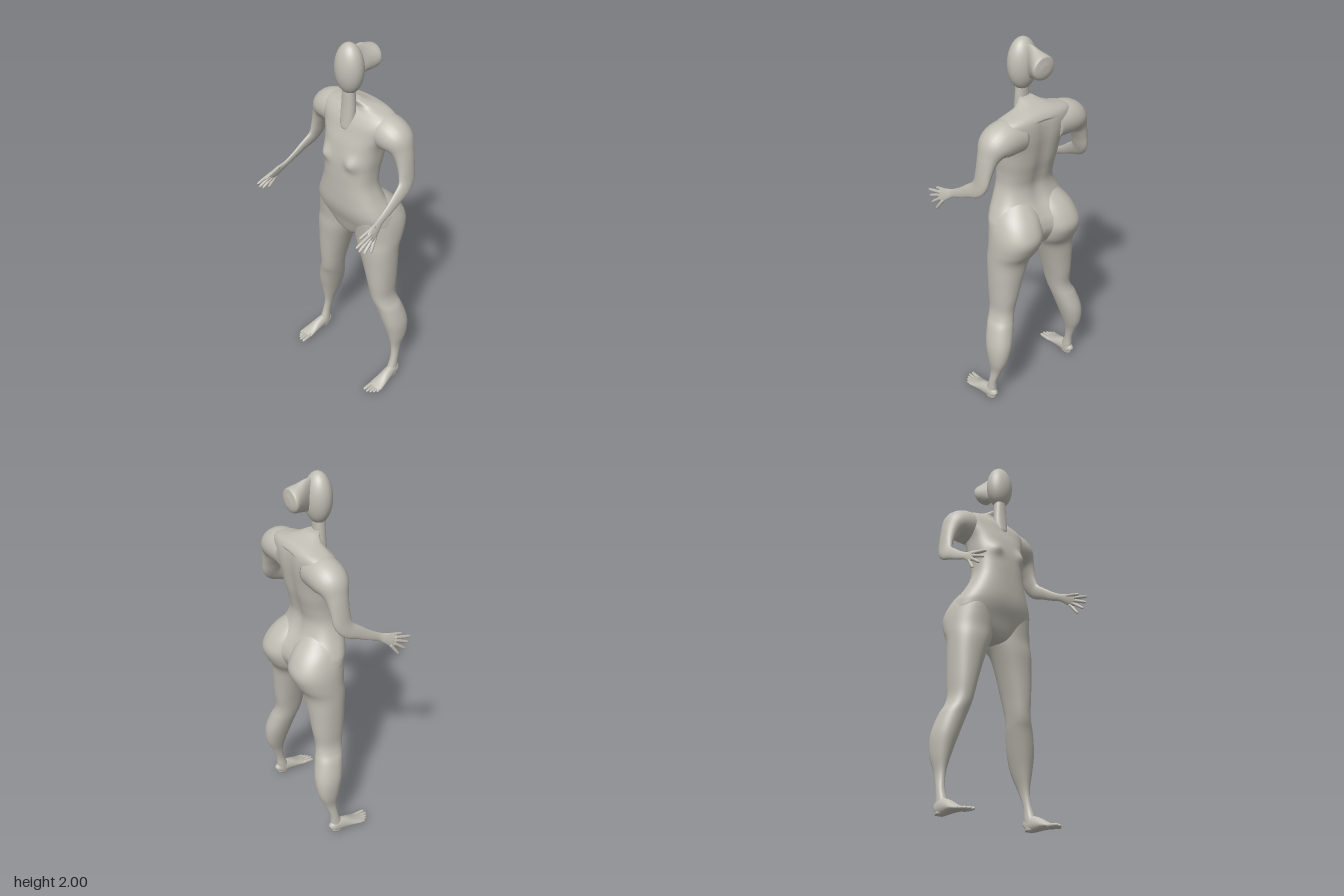
import * as THREE from 'three';

const V = (x, y, z) => new THREE.Vector3(x, y, z);

// Catmull-Rom interpolation of rows of numbers
function refine(rows, k = 5) {
  const out = [], at = (i) => rows[Math.max(0, Math.min(rows.length - 1, i))];
  for (let i = 0; i < rows.length - 1; i++) {
    const [a, b, c, d] = [at(i - 1), at(i), at(i + 1), at(i + 2)];
    for (let s = 0; s < k; s++) {
      const t = s / k;
      out.push(b.map((p, j) => {
        const cubic = 3 * (p - c[j]) + d[j] - a[j];
        const square = 2 * a[j] - 5 * p + 4 * c[j] - d[j];
        return p + 0.5 * t * (c[j] - a[j] + t * (square + t * cubic));
      }));
    }
  }
  out.push(rows[rows.length - 1]);
  return out;
}

// Closed skin over a list of rings, with a fan at each end
function skin(rings) {
  const n = rings[0].length, pos = [], idx = [];
  rings.forEach((r) => r.forEach((p) => pos.push(p.x, p.y, p.z)));
  for (let i = 0; i < rings.length - 1; i++) {
    for (let j = 0; j < n; j++) {
      const a = i * n + j, b = i * n + (j + 1) % n;
      idx.push(a, b, a + n, b, b + n, a + n);
    }
  }
  [0, rings.length - 1].forEach((row, end) => {
    const c = rings[row].reduce((s, p) => s.add(p), V(0, 0, 0)).divideScalar(n);
    const ci = pos.length / 3;
    pos.push(c.x, c.y, c.z);
    for (let j = 0; j < n; j++) {
      const a = row * n + j, b = row * n + (j + 1) % n;
      if (end) idx.push(ci, a, b); else idx.push(ci, b, a);
    }
  });
  const g = new THREE.BufferGeometry();
  g.setAttribute('position', new THREE.Float32BufferAttribute(pos, 3));
  g.setIndex(idx);
  g.computeVertexNormals();
  return g;
}

const mirror = (rings) => rings.map((r) => r.map((p) => V(-p.x, p.y, p.z)).reverse());

// Level sections, bottom to top: [y, x0, x1, zFront, zBack]
function levels(rows, n = 2.2, sides = 40) {
  const pw = (v) => Math.sign(v) * Math.abs(v) ** (2 / n);
  return refine(rows).map(([y, x0, x1, zf, zb]) => Array.from({ length: sides }, (_, j) => {
    const t = j / sides * Math.PI * 2;
    return V((x0 + x1) / 2 + (x1 - x0) / 2 * pw(Math.sin(t)), y,
      (zf + zb) / 2 + (zf - zb) / 2 * pw(Math.cos(t)));
  }));
}

// Oval sections along a path: [x, y, z, halfWidth, halfThickness]
function sweep(rows, width, sides = 24, k = 5) {
  const r = refine(rows, k), c = r.map((q) => V(q[0], q[1], q[2])), w = width.clone();
  return r.map((q, i) => {
    const T = c[Math.min(i + 1, c.length - 1)].clone().sub(c[Math.max(i - 1, 0)]).normalize();
    w.addScaledVector(T, -w.dot(T)).normalize();
    const b = T.clone().cross(w);
    return Array.from({ length: sides }, (_, j) => {
      const t = j / sides * Math.PI * 2;
      return c[i].clone().addScaledVector(w, q[3] * Math.cos(t)).addScaledVector(b, q[4] * Math.sin(t));
    });
  });
}

// Tapered finger or toe with a rounded tip
function digit(a, b, r) {
  const row = (t, s) => [...a.clone().lerp(b, t).toArray(), r * s, r * s];
  return sweep([row(0, 1), row(0.5, 0.95), row(0.85, 0.8), row(0.96, 0.5), row(1, 0.15)], V(1, 0, 0), 10, 3);
}

export function createModel() {
  const model = new THREE.Group();
  const clay = new THREE.MeshStandardMaterial({ color: 0xc0bdb3 });
  clay.name = 'warm grey clay';
  const add = (name, geo) => {
    const m = new THREE.Mesh(geo, clay);
    m.name = name;
    model.add(m);
    return m;
  };
  const pair = (name, rings) => {
    add(name + 'Left', skin(rings));
    add(name + 'Right', skin(mirror(rings)));
  };

  // Head
  const head = add('head', new THREE.SphereGeometry(1, 40, 28));
  head.scale.set(0.076, 0.125, 0.064);
  head.position.set(0, 1.875, -0.03);

  // Hair tied at the back, fanning outwards
  add('hairBun', skin(sweep([
    [0, 1.9, -0.06, 0.012, 0.075], [0, 1.9, -0.09, 0.022, 0.08], [0, 1.897, -0.13, 0.042, 0.07],
    [0, 1.895, -0.17, 0.06, 0.06], [0, 1.894, -0.184, 0.052, 0.05], [0, 1.894, -0.192, 0.02, 0.02],
  ], V(1, 0, 0))));

  // Neck, running down onto the breastbone
  add('neck', skin(levels([
    [1.565, -0.014, 0.014, 0.006, -0.04], [1.58, -0.032, 0.032, 0.012, -0.05],
    [1.62, -0.04, 0.04, 0.008, -0.055], [1.7, -0.037, 0.037, 0.002, -0.055], [1.79, -0.03, 0.03, 0, -0.055],
  ], 2.3, 24)));

  // Torso: [y, half width, zFront, zBack]
  const torso = levels([
    [0.935, 0.03, -0.04, -0.13], [0.96, 0.1, -0.01, -0.19], [1.04, 0.225, 0.018, -0.232],
    [1.1, 0.232, 0.04, -0.228], [1.15, 0.212, 0.05, -0.2], [1.21, 0.18, 0.053, -0.162],
    [1.28, 0.153, 0.054, -0.146], [1.35, 0.149, 0.054, -0.158], [1.42, 0.156, 0.05, -0.176],
    [1.5, 0.166, 0.035, -0.19], [1.56, 0.192, 0.014, -0.198], [1.61, 0.215, -0.004, -0.2],
    [1.645, 0.212, -0.025, -0.197], [1.668, 0.175, -0.045, -0.188], [1.685, 0.11, -0.05, -0.17],
    [1.7, 0.07, -0.045, -0.13], [1.72, 0.035, -0.035, -0.085],
  ].map(([y, w, f, b]) => [y, -w, w, f, b]), 2.5, 64);
  torso.flat().forEach((p) => {
    if (p.z > -0.02) { // bust
      p.z += 0.022 * Math.exp(-((Math.abs(p.x) - 0.088) ** 2 + (p.y - 1.42) ** 2) / 0.0012);
    } else if (p.z < -0.1 && p.y < 1.65) { // spine groove
      p.z += 0.01 * Math.exp(-(p.x ** 2) / 0.0012);
    }
  });
  add('torso', skin(torso));

  // Legs with buttocks, knees and calves
  pair('leg', levels([
    [0.01, 0.26, 0.308, -0.07, -0.138], [0.06, 0.257, 0.305, -0.075, -0.14], [0.13, 0.26, 0.3, -0.098, -0.145],
    [0.21, 0.25, 0.295, -0.106, -0.172], [0.3, 0.222, 0.31, -0.09, -0.208], [0.4, 0.19, 0.312, -0.066, -0.217],
    [0.5, 0.16, 0.287, -0.046, -0.195], [0.55, 0.147, 0.262, -0.033, -0.18], [0.6, 0.135, 0.25, -0.025, -0.175],
    [0.68, 0.115, 0.252, -0.015, -0.185], [0.8, 0.078, 0.255, -0.005, -0.195], [0.9, 0.04, 0.255, 0.004, -0.207],
    [0.97, 0.008, 0.254, 0.004, -0.246], [1.04, 0, 0.248, 0.012, -0.27], [1.1, 0, 0.233, 0.02, -0.252],
    [1.16, 0.003, 0.203, 0.02, -0.208], [1.23, 0.025, 0.14, 0.02, -0.13],
  ]));

  // Feet
  pair('foot', sweep([
    [0.283, 0.032, -0.139, 0.015, 0.02], [0.283, 0.038, -0.13, 0.024, 0.034], [0.284, 0.043, -0.1, 0.027, 0.042],
    [0.287, 0.036, -0.05, 0.031, 0.034], [0.29, 0.024, 0, 0.038, 0.019], [0.291, 0.016, 0.035, 0.041, 0.012],
    [0.291, 0.014, 0.052, 0.034, 0.008],
  ], V(1, 0, 0)));
  [[0.26, 0.1, 0.011], [0.281, 0.101, 0.009], [0.298, 0.09, 0.009], [0.312, 0.077, 0.008], [0.325, 0.06, 0.008]]
    .forEach(([x, z, r], i) => pair('toe' + (i + 1), digit(V(x * 0.9 + 0.029, 0.016, 0.03), V(x, 0.011, z), r)));

  // Arms, from inside the chest to the palm
  pair('arm', sweep([
    [0.1, 1.58, -0.115, 0.085, 0.085], [0.18, 1.582, -0.115, 0.09, 0.088], [0.238, 1.562, -0.115, 0.083, 0.076],
    [0.275, 1.515, -0.115, 0.06, 0.046], [0.298, 1.45, -0.113, 0.051, 0.031], [0.312, 1.39, -0.106, 0.049, 0.023],
    [0.322, 1.35, -0.08, 0.042, 0.018], [0.329, 1.318, -0.025, 0.032, 0.014], [0.334, 1.285, 0.03, 0.025, 0.011],
    [0.338, 1.255, 0.09, 0.02, 0.009], [0.345, 1.237, 0.125, 0.026, 0.01], [0.352, 1.217, 0.16, 0.032, 0.01],
    [0.357, 1.205, 0.183, 0.025, 0.007],
  ], V(0, 0, 1)));

  // Fingers
  [
    [V(0.343, 1.25, 0.135), V(0.338, 1.222, 0.232)], [V(0.354, 1.228, 0.17), V(0.357, 1.2, 0.272)],
    [V(0.356, 1.214, 0.17), V(0.361, 1.172, 0.258)], [V(0.357, 1.202, 0.162), V(0.368, 1.148, 0.232)],
    [V(0.356, 1.198, 0.145), V(0.372, 1.133, 0.19)],
  ].forEach(([a, b], i) => pair('finger' + (i + 1), digit(a, b, 0.009)));

  return model;
}
